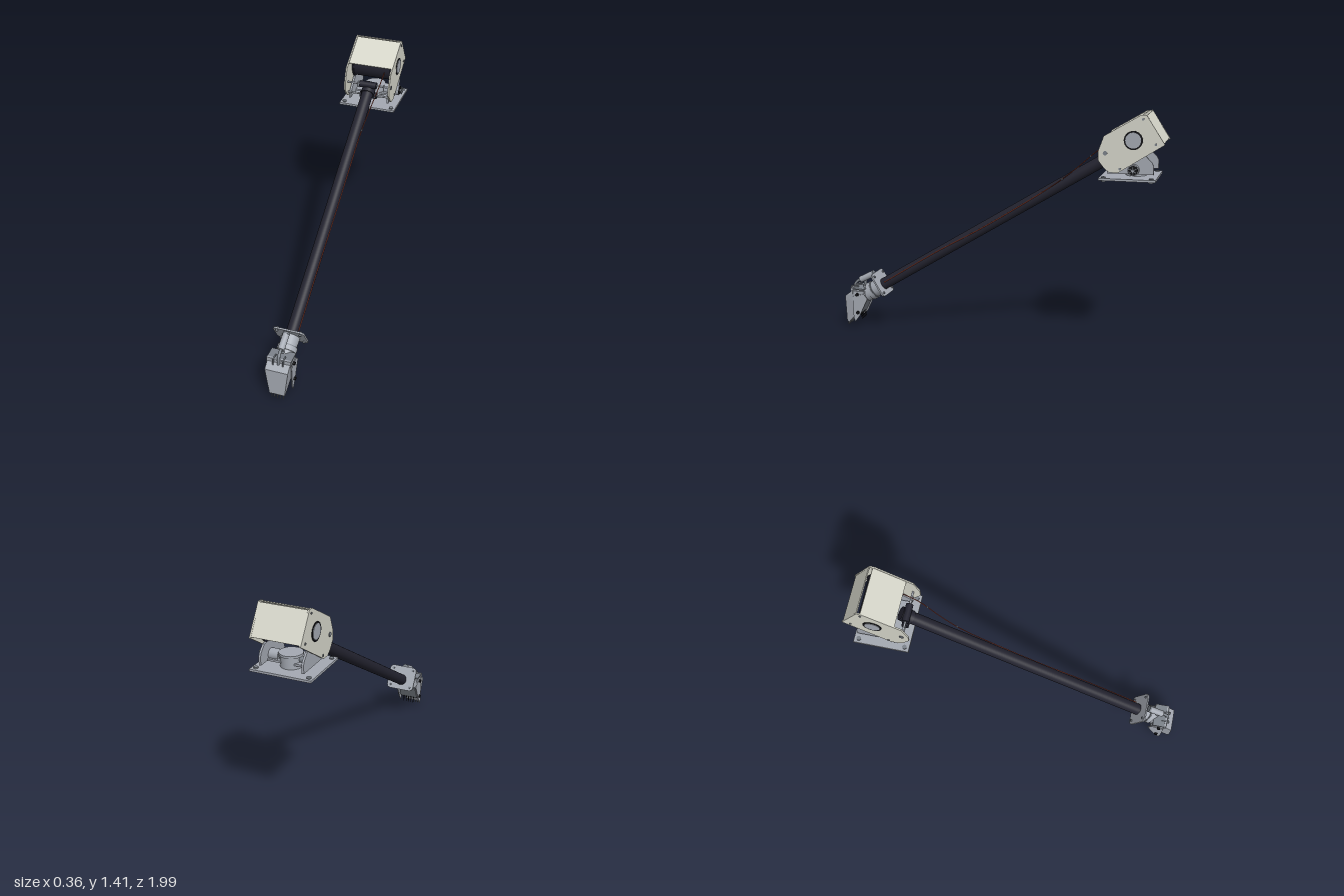
import * as THREE from 'three';

const mat = (name, color, side = THREE.FrontSide) => {
  const m = new THREE.MeshStandardMaterial({ color, side });
  m.name = name;
  return m;
};

export function createModel() {
  const model = new THREE.Group();
  model.name = 'crane';
  const beige = mat('beige panel', 0xd6d6ca);
  const steel = mat('blue grey steel', 0xa4a9b2);
  const grey = mat('dark steel', 0x7c828a);
  const dark = mat('dark tube', 0x23232f);
  const black = mat('black', 0x111114);
  const red = mat('red cable', 0xa8432a);
  const V = (x, y, z) => new THREE.Vector3(x, y, z);

  const add = (name, geo, material, parent = model) => {
    const m = new THREE.Mesh(geo, material);
    m.name = name;
    parent.add(m);
    return m;
  };
  // Round bar between two points
  const rod = (name, material, a, b, r, r2 = r, seg = 28) => {
    const d = b.clone().sub(a);
    const m = add(name, new THREE.CylinderGeometry(r2, r, d.length(), seg), material);
    m.position.copy(a).addScaledVector(d, 0.5);
    m.quaternion.setFromUnitVectors(V(0, 1, 0), d.normalize());
    return m;
  };
  // Bar across x at height y and depth z
  const cross = (name, material, x0, x1, y, z, r, seg) =>
    rod(name, material, V(x0, y, z), V(x1, y, z), r, r, seg);
  const box = (name, material, w, h, d, x, y, z) => {
    const m = add(name, new THREE.BoxGeometry(w, h, d), material);
    m.position.set(x, y, z);
    return m;
  };
  // Side outline of [z, y] points, extruded across x
  const profile = (name, material, pts, x, width) => {
    const s = new THREE.Shape(pts.map(p => new THREE.Vector2(...p)));
    const g = new THREE.ExtrudeGeometry(s, { depth: width, bevelEnabled: false });
    g.translate(0, 0, -width / 2).rotateY(-Math.PI / 2).translate(x, 0, 0);
    return add(name, g, material);
  };
  // Thin sheet between two [z, y] points
  const sheet = (name, material, a, b, x, width, t = 0.006) => {
    const l = Math.hypot(b[0] - a[0], b[1] - a[1]);
    const n = [-(b[1] - a[1]) / l * t, (b[0] - a[0]) / l * t];
    return profile(name, material, [a, b, [b[0] + n[0], b[1] + n[1]], [a[0] + n[0], a[1] + n[1]]], x, width);
  };
  const rounded = (w, h, c) => {
    const s = new THREE.Shape();
    s.moveTo(-w + c, -h).lineTo(w - c, -h).quadraticCurveTo(w, -h, w, -h + c);
    s.lineTo(w, h - c).quadraticCurveTo(w, h, w - c, h);
    s.lineTo(-w + c, h).quadraticCurveTo(-w, h, -w, h - c);
    s.lineTo(-w, -h + c).quadraticCurveTo(-w, -h, -w + c, -h);
    return s;
  };

  const cx = -0.004;
  // Base plate, corner bolts and turntable
  box('basePlate', steel, 0.36, 0.013, 0.325, cx, 1.041, -0.79);
  for (const sx of [-1, 1]) for (const sz of [-1, 1]) {
    const x = cx + sx * 0.155, z = -0.79 + sz * 0.135;
    rod('baseBolt', grey, V(x, 1.026, z), V(x, 1.054, z), 0.013, 0.013, 16);
  }
  rod('turntable', steel, V(cx, 1.045, -0.82), V(cx, 1.125, -0.82), 0.06);
  rod('turntableRim', steel, V(cx, 1.112, -0.82), V(cx, 1.126, -0.82), 0.066);

  // Trunnion brackets and tilt motor
  for (const s of [-1, 1]) {
    profile('trunnionBracket', steel, [[-0.67, 1.07], [-0.67, 1.1], [-0.76, 1.18], [-0.89, 1.175],
      [-0.925, 1.14], [-0.935, 1.12], [-0.935, 1.07]], cx + s * 0.125, 0.012);
  }
  box('bracketBeam', steel, 0.25, 0.012, 0.09, cx, 1.076, -0.82);
  cross('tiltShaft', grey, -0.13, 0.13, 1.096, -0.823, 0.018);
  cross('tiltMotor', steel, 0.06, 0.156, 1.096, -0.823, 0.032);
  cross('motorCap', black, 0.156, 0.16, 1.096, -0.823, 0.027);
  cross('motorHub', steel, 0.156, 0.18, 1.096, -0.823, 0.009);
  for (let i = 0; i < 3; i++) {
    const m = box('handKnob', grey, 0.006, 0.05, 0.008, 0.172, 1.096, -0.823);
    m.rotation.x = i * Math.PI / 3;
  }

  // Winch housing side plates with hubs and bolts
  const side = [[-0.857, 1.408], [-0.888, 1.41], [-0.996, 1.245], [-0.735, 1.077], [-0.685, 1.077],
    [-0.655, 1.1], [-0.62, 1.145], [-0.62, 1.2], [-0.65, 1.285]];
  for (const s of [-1, 1]) {
    const x = cx + s * 0.143;
    profile('sidePlate', beige, side, x, 0.009);
    cross('hubRing', black, x, x + s * 0.007, 1.265, -0.818, 0.054);
    cross('hub', steel, x, x + s * 0.010, 1.265, -0.818, 0.045);
    for (const [z, y] of [[-0.66, 1.187], [-0.87, 1.385], [-0.945, 1.245], [-0.745, 1.1]]) {
      cross('plateBolt', grey, x, x + s * 0.008, y, z, y === 1.187 ? 0.013 : 0.007, 14);
    }
  }
  sheet('topCover', beige, [-0.688, 1.304], [-0.867, 1.409], cx, 0.278);
  sheet('backCover', beige, [-0.89, 1.408], [-0.99, 1.25], cx, 0.278);

  // Winch drum
  cross('drum', dark, -0.128, 0.12, 1.265, -0.818, 0.09, 40);
  for (const s of [-1, 1]) {
    cross('drumFlange', dark, cx + s * 0.12, cx + s * 0.128, 1.265, -0.818, 0.099, 40);
  }

  // Guide rollers and tie bars at the boom root
  for (const [y, z] of [[1.187, -0.66], [1.112, -0.67]]) {
    cross('tieBar', steel, -0.14, 0.132, y, z, 0.006, 14);
    cross('guideRoller', dark, -0.058, 0.05, y, z, 0.021);
  }

  // Boom
  const P = V(cx, 0.276, 0.76), Q = V(cx, 1.168, -0.7);
  const dir = P.clone().sub(Q).normalize();
  const at = (d, x = 0) => P.clone().addScaledVector(dir, d).add(V(x, 0, 0));
  rod('boom', dark, Q, P, 0.036, 0.036, 40);
  rod('boomCollar', dark, Q, Q.clone().addScaledVector(dir, 0.07), 0.042);

  // Cable running from the drum down the boom
  const curve = new THREE.CatmullRomCurve3([V(0.082, 1.255, -0.72), V(0.077, 1.2, -0.62), V(0.052, 1.08, -0.48),
    V(0.038, 0.99, -0.367), V(0.034, 0.845, -0.153), V(0.033, 0.68, 0.11), V(0.034, 0.52, 0.39), V(0.034, 0.3, 0.74)]);
  add('cable', new THREE.TubeGeometry(curve, 70, 0.0028, 6), red);
  for (const t of [0.2, 0.4]) {
    const m = add('cableClip', new THREE.SphereGeometry(0.006, 10, 8), grey);
    m.position.copy(curve.getPoint(t));
  }

  // Flange at the boom tip
  const flange = add('flange', new THREE.ExtrudeGeometry(rounded(0.094, 0.08, 0.03),
    { depth: 0.01, bevelEnabled: false, curveSegments: 6 }), steel);
  flange.position.copy(P).add(V(0, 0.012, 0.004));
  flange.quaternion.setFromUnitVectors(V(0, 0, 1), dir);
  for (const sx of [-1, 1]) for (const sy of [-1, 1]) {
    const c = V(sx * 0.07, sy * 0.058, 0).applyQuaternion(flange.quaternion).add(flange.position);
    rod('flangeBolt', grey, c.clone().addScaledVector(dir, -0.008), c.clone().addScaledVector(dir, 0.02), 0.007, 0.007, 12);
  }

  // Wrist
  rod('wrist', steel, at(0), at(0.135), 0.053, 0.05);
  rod('wristRing', grey, at(0.066), at(0.072), 0.056);
  rod('wristCollar', steel, at(0.072), at(0.1), 0.058);

  // Bucket head, tapering towards the mouth
  const head = profile('bucket', steel, [[0.996, 0.2], [0.952, 0.235], [0.87, 0.235], [0.862, 0.18],
    [0.895, 0.12], [0.985, 0.02], [0.998, 0.03]], 0, 2);
  const hp = head.geometry.attributes.position;
  for (let i = 0; i < hp.count; i++) {
    hp.setX(i, -0.007 + hp.getX(i) * (0.042 + 0.027 * Math.min(1, hp.getY(i) / 0.2)));
  }
  head.geometry.computeVertexNormals();
  box('bucketBar', steel, 0.146, 0.04, 0.012, -0.007, 0.236, 0.95);
  box('bucketLid', grey, 0.146, 0.008, 0.085, -0.007, 0.248, 0.912);
  for (const x of [-0.037, 0.022]) box('lidRib', grey, 0.007, 0.04, 0.05, x, 0.24, 0.945);

  // Side flaps, hinge pins and rear jaw
  for (const s of [-1, 1]) {
    const x = -0.007 + s * 0.071;
    profile('sideFlap', steel, [[0.945, 0.2], [0.87, 0.22], [0.845, 0.19], [0.9, 0.075],
      [0.93, 0.035], [0.94, 0.06]], x, 0.005);
    for (const [y, z] of [[0.097, 0.91], [0.214, 0.913]]) cross('hingePin', black, x, x + s * 0.012, y, z, 0.01, 16);
  }
  sheet('rearJaw', grey, [0.858, 0.175], [0.905, 0.08], -0.007, 0.12);
  cross('jawShaft', grey, -0.075, 0.06, 0.097, 0.91, 0.007, 14);

  // Two rows of tines
  for (let i = -2; i <= 2; i++) {
    const x = -0.006 + i * 0.0175;
    rod('frontTine', grey, V(x, 0.04, 0.985), V(x, 0.001, 0.993), 0.005, 0.003, 8);
    rod('rearTine', black, V(x, 0.09, 0.905), V(x, 0.045, 0.898), 0.004, 0.002, 8);
  }

  // Jaw actuator above the bucket with its bent link
  rod('actuator', steel, V(-0.007, 0.34, 0.828), V(-0.007, 0.295, 0.915), 0.02);
  rod('actuatorCap', grey, V(-0.007, 0.343, 0.822), V(-0.007, 0.338, 0.832), 0.021);
  rod('actuatorMount', grey, V(-0.007, 0.31, 0.88), V(-0.007, 0.24, 0.89), 0.01, 0.01, 14);
  const link = new THREE.CatmullRomCurve3([V(-0.007, 0.3, 0.91), V(-0.007, 0.282, 0.94), V(-0.007, 0.262, 0.955), V(-0.007, 0.22, 0.958)]);
  add('actuatorLink', new THREE.TubeGeometry(link, 16, 0.009, 12), grey);

  return model;
}
